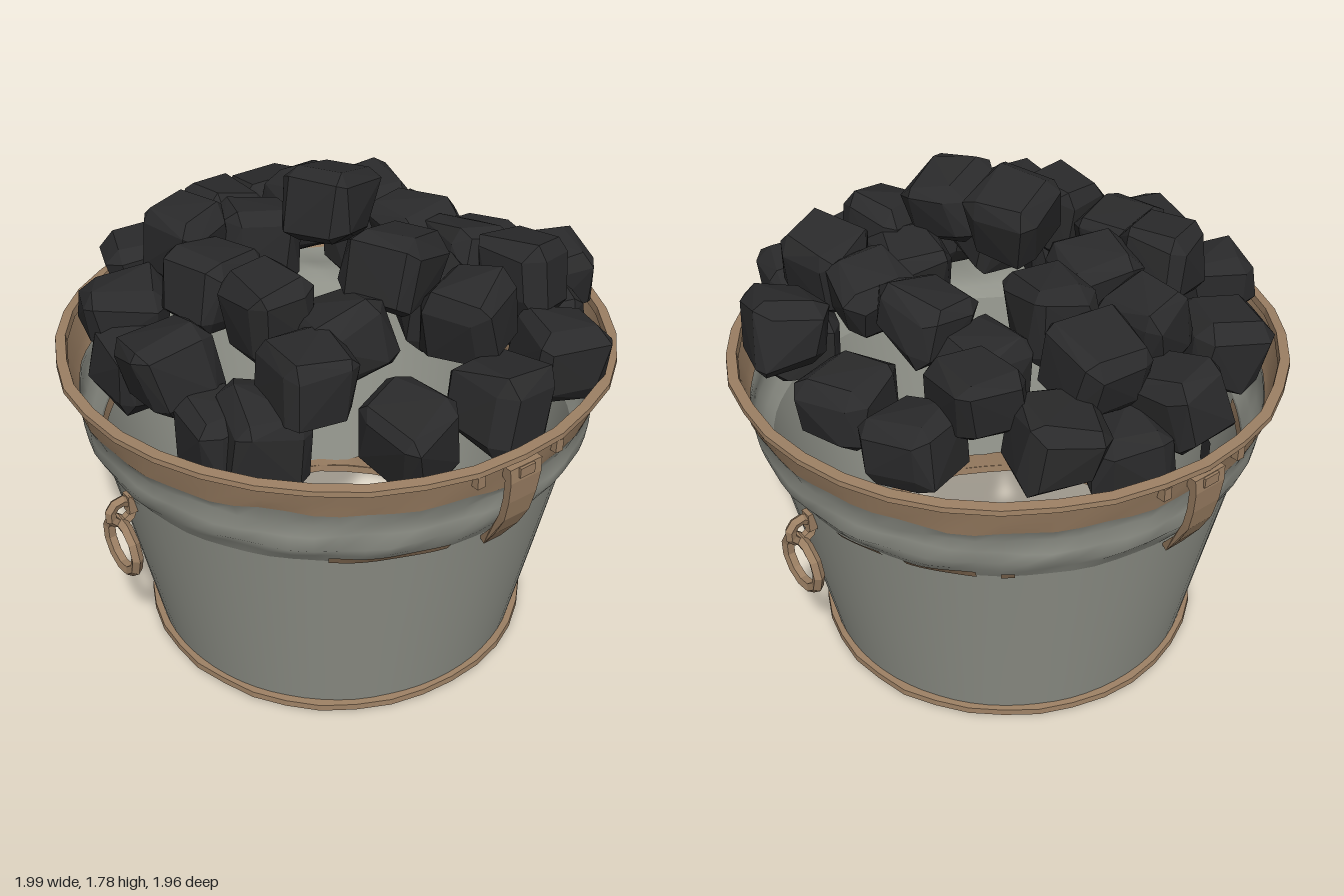
import * as THREE from 'three';
import { ConvexGeometry } from 'three/addons/geometries/ConvexGeometry.js';

const SEGMENTS = 72;

// Seeded random numbers
function makeRandom(seed) {
  let s = seed;
  return () => (s = (s * 16807) % 2147483647) / 2147483647;
}

// Gentle dents around the bucket
const wave = (a, k) => (Math.sin(5 * a + k * 1.7) + Math.sin(11 * a + k * 3.1) + Math.sin(19 * a + k * 5.3)) / 3;

// A row maps an angle to [radius, height]
const row = (r, y, dr = 0, dy = 0, k = 0) => (a) => [r + dr * wave(a, k), y + dy * wave(a, k + 2)];
// Row between two others, pushed out from the wall
const between = (p, q, t, push) => (a) => {
  const [r0, y0] = p(a), [r1, y1] = q(a);
  return [r0 + (r1 - r0) * t + push, y0 + (y1 - y0) * t];
};

// Surface around the bucket axis through the given rows
function band(rows, from = 0, to = Math.PI * 2, steps = SEGMENTS) {
  const closed = to - from > 6.28;
  const n = closed ? steps : steps + 1;
  const pos = [], index = [];
  for (const at of rows) {
    for (let i = 0; i < n; i++) {
      const a = from + (to - from) * i / steps;
      const [r, y] = at(a);
      pos.push(r * Math.sin(a), y, r * Math.cos(a));
    }
  }
  for (let j = 0; j < rows.length - 1; j++) {
    for (let i = 0; i < steps; i++) {
      const k = (i + 1) % n, p = j * n + i, q = j * n + k;
      index.push(p, q, q + n, p, q + n, p + n);
    }
  }
  const g = new THREE.BufferGeometry();
  g.setAttribute('position', new THREE.Float32BufferAttribute(pos, 3));
  g.setIndex(index);
  g.computeVertexNormals();
  return g;
}

function faceted(g) {
  const f = g.index ? g.toNonIndexed() : g;
  f.computeVertexNormals();
  return f;
}

export function createModel() {
  const model = new THREE.Group();
  const metal = new THREE.MeshStandardMaterial({ color: 0x92948b, side: THREE.DoubleSide });
  metal.name = 'galvanised metal';
  const rust = new THREE.MeshStandardMaterial({ color: 0x9b7f63, side: THREE.DoubleSide });
  rust.name = 'rust';
  const coal = new THREE.MeshStandardMaterial({ color: 0x2a2a2b });
  coal.name = 'coal black';

  const add = (name, geometry, material, parent = model) => {
    const mesh = new THREE.Mesh(geometry, material);
    mesh.name = name;
    parent.add(mesh);
    return mesh;
  };

  // Bucket wall, open at the bottom
  const base = row(0.7, 0.02), middle = row(0.775, 0.4);
  const neck = row(0.857, 0.812, 0.002, 0.005), swell = row(0.884, 0.856, 0.006, 0.01, 1);
  const groove = row(0.912, 1.0, 0.006, 0.01, 5);
  const rustEdge = row(0.936, 1.055, 0.003, 0.016, 4);
  const lip = row(0.964, 1.17);
  add('lowerWall', band([base, middle, neck]), metal);
  add('shoulderBulge', band([
    neck, swell, row(0.908, 0.9, 0.008, 0.012, 2), row(0.914, 0.955, 0.009, 0.012, 3), groove, rustEdge,
  ]), metal);
  add('rustedUpperBand', band([rustEdge, row(0.95, 1.11, 0.003), lip]), rust);
  add('innerRustBand', band([
    between(groove, rustEdge, 0.3, -0.006), between(groove, rustEdge, 1, -0.006), between(rustEdge, lip, 0.95, -0.006),
  ]), rust);

  // Rolled rims, top and bottom
  const rim = (name, r0, r1, y0, y1, k) => add(name, faceted(band([
    row(r0, y0, 0.005, 0.004, k), row(r1, y0 + 0.004, 0.006, 0.004, k), row(r1 - 0.002, y1 - 0.004, 0.006, 0.004, k),
    row(r0 + 0.004, y1, 0.005, 0.004, k), row(r0, y0, 0.005, 0.004, k),
  ], 0, Math.PI * 2, 36)), rust);
  rim('topRim', 0.94, 0.981, 1.158, 1.184, 1);
  rim('bottomRim', 0.69, 0.728, 0.003, 0.034, 2);

  // Rust patches on the lower edge of the bulge
  for (const [from, to] of [[-0.41, -0.15], [0.05, 0.13], [0.92, 1.37], [2.45, 2.7], [3.35, 3.55], [3.65, 3.92], [4.01, 4.06]]) {
    add('rustPatch', band([between(neck, swell, -0.05, 0.007), between(neck, swell, 0.75, 0.006)], from, to, 10), rust);
  }
  // Rust inside the wall
  add('innerRustPatch', band([between(middle, neck, 0.9, -0.006), between(middle, neck, 1, -0.006)], -1.08, -0.55, 12), rust);
  add('innerBaseRust', band([row(0.693, 0.02), row(0.702, 0.08, 0.003, 0.04, 7)]), rust);

  // Ring pulls, front and back
  for (const side of [1, -1]) {
    const pull = new THREE.Group();
    pull.name = side > 0 ? 'frontRingPull' : 'backRingPull';
    pull.rotation.y = side > 0 ? 0 : Math.PI;
    const ring = add('ring', faceted(new THREE.TorusGeometry(0.1, 0.022, 5, 11)), rust, pull);
    ring.position.set(0, 0.607, 0.9);
    const staple = add('staple', faceted(new THREE.TorusGeometry(0.043, 0.02, 5, 9)), rust, pull);
    staple.rotation.y = Math.PI / 2;
    staple.position.set(0, 0.745, 0.893);
    const tab = add('mountTab', new THREE.BoxGeometry(0.042, 0.07, 0.03), rust, pull);
    tab.position.set(0, 0.77, 0.857);
    model.add(pull);
  }

  // Side straps with rim clips
  const outer = [[0.95, 1.15], [0.985, 1.15], [0.99, 1.1], [0.982, 1.02], [0.965, 0.94], [0.925, 0.86], [0.868, 0.775]];
  const inner = [[0.845, 0.79], [0.905, 0.87], [0.94, 0.95], [0.955, 1.02], [0.962, 1.1], [0.95, 1.11]];
  const outline = new THREE.Shape([...outer, ...inner].map(([x, y]) => new THREE.Vector2(x, y)));
  for (const side of [1, -1]) {
    const strapGroup = new THREE.Group();
    strapGroup.name = side > 0 ? 'leftStrap' : 'rightStrap';
    strapGroup.rotation.y = side > 0 ? 0 : Math.PI;
    const g = new THREE.ExtrudeGeometry(outline, { depth: 1, bevelEnabled: false });
    const p = g.attributes.position;
    for (let i = 0; i < p.count; i++) {
      const y = p.getY(i);
      const width = y < 0.8 ? 0.075 : 0.1 + 0.03 * Math.max(0, (y - 0.9) / 0.25);
      p.setZ(i, (p.getZ(i) - 0.5) * width);
    }
    add('strap', faceted(g), rust, strapGroup);
    const lug = add('strapLug', new THREE.BoxGeometry(0.045, 0.035, 0.06), rust, strapGroup);
    lug.position.set(0.972, 1.13, 0);
    for (const z of [0.16, -0.16]) {
      const clip = add('rimClip', new THREE.BoxGeometry(0.03, 0.045, 0.03), rust, strapGroup);
      clip.position.set(0.95, 1.137, z);
    }
    model.add(strapGroup);
  }

  // Coal lumps: irregular blocks with broken corners
  const rnd = makeRandom(4711);
  const jitter = (s) => (rnd() - 0.5) * s;
  function lump(w, h, d) {
    const pts = [];
    for (const sx of [-1, 1]) for (const sy of [-1, 1]) for (const sz of [-1, 1]) {
      const ox = jitter(0.25), oy = jitter(0.25), oz = jitter(0.25);
      const cut = () => 0.5 + rnd() * 0.32;
      for (const [cx, cy, cz] of [[1, cut(), cut()], [cut(), 1, cut()], [cut(), cut(), 1]]) {
        pts.push(new THREE.Vector3((sx * cx + ox) * w, (sy * cy + oy) * h, (sz * cz + oz) * d));
      }
    }
    return new ConvexGeometry(pts);
  }
  const heap = new THREE.Group();
  heap.name = 'coalHeap';
  model.add(heap);
  // x, y, z of each lump
  const lumps = [
    [-0.02, 1.63, 0.01], [0.34, 1.56, 0.02], [-0.06, 1.41, -0.39], [-0.28, 1.31, -0.33], [-0.44, 1.35, -0.47],
    [-0.37, 1.21, -0.66], [-0.06, 1.23, -0.7], [0.33, 1.31, -0.7], [0.2, 1.4, -0.43], [0.44, 1.43, -0.45],
    [0.68, 1.24, -0.42], [0.53, 1.41, -0.14], [0.75, 1.22, -0.1], [0.33, 1.36, -0.18], [0.36, 1.37, 0.24],
    [0.72, 1.21, 0.25], [0.48, 1.35, 0.45], [0.2, 1.44, 0.4], [-0.09, 1.43, 0.44], [-0.34, 1.49, 0.38],
    [-0.26, 1.45, 0.16], [-0.53, 1.41, 0.14], [-0.75, 1.26, 0.07], [-0.67, 1.26, -0.36], [-0.35, 1.46, -0.1],
    [-0.58, 1.39, -0.12], [-0.61, 1.27, 0.41], [-0.32, 1.3, 0.66], [-0.17, 1.18, 0.71], [0.07, 1.29, 0.7],
    [0.3, 1.14, 0.65], [0.42, 1.17, 0.58], [0.4, 1.2, -0.6], [-0.72, 1.14, -0.12],
  ];
  for (const [x, y, z] of lumps) {
    const g = lump(0.135 + jitter(0.02), 0.122 + jitter(0.02), 0.127 + jitter(0.02));
    const mesh = add('coalLump', g, coal, heap);
    mesh.position.set(x, y, z);
    mesh.rotation.set(jitter(0.5), jitter(0.8), jitter(0.5));
  }

  // Coal smudges lying on the inside of the wall
  for (const [a, y, s] of [[0.14, 0.34, 0.1], [-1.64, 0.34, 0.1], [-0.48, 0.53, 0.045]]) {
    const mesh = add('coalSmudge', new THREE.CircleGeometry(s, 6), coal, heap);
    const r = 0.696 + 0.197 * y - 0.012;
    mesh.position.set(r * Math.sin(a), y, r * Math.cos(a));
    mesh.rotation.set(-0.19, a + Math.PI, 0, 'YXZ');
    mesh.scale.y = 1.3;
  }
  return model;
}
